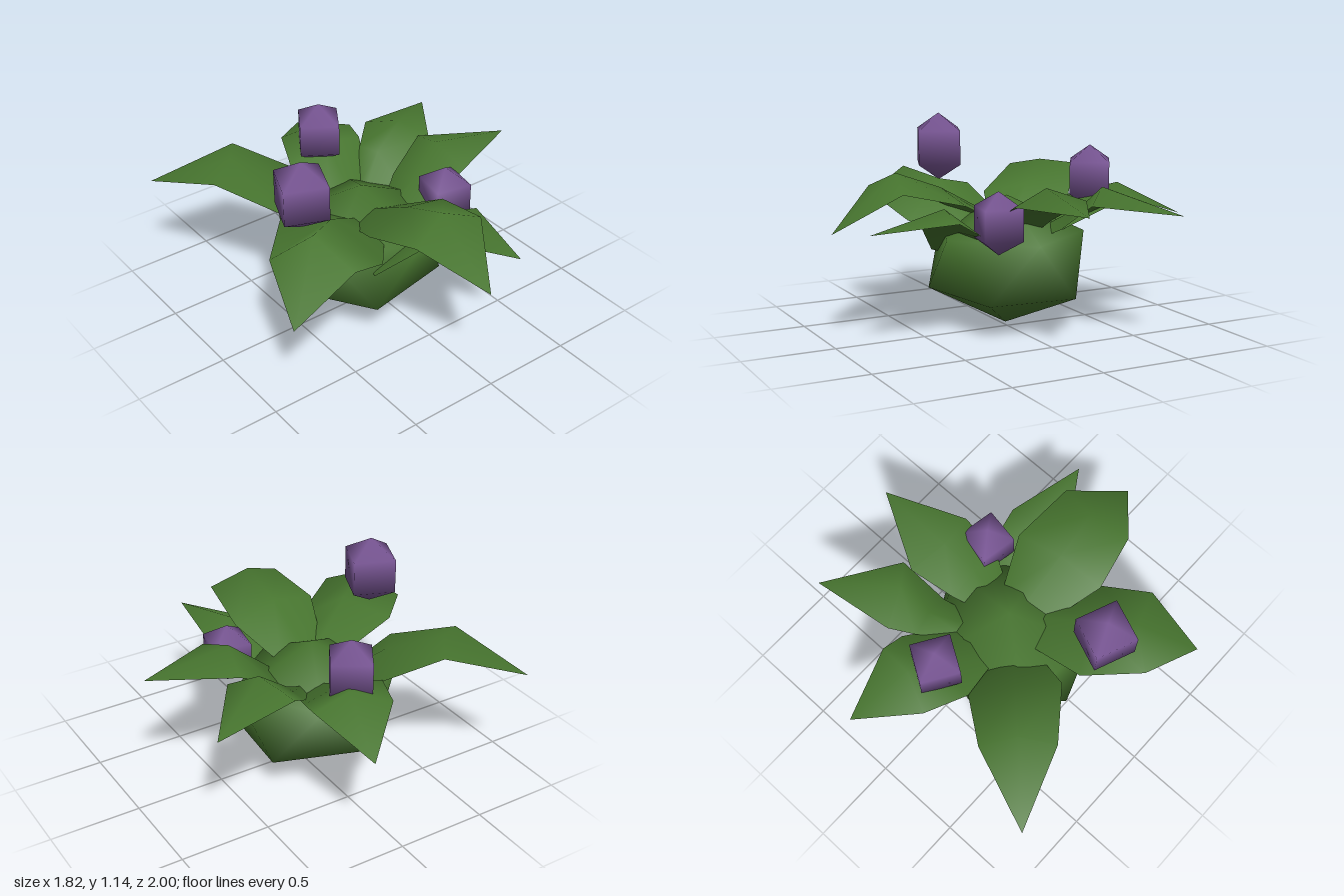
import * as THREE from 'three';
import { mergeVertices } from 'three/addons/utils/BufferGeometryUtils.js';

const leafGreen = new THREE.MeshStandardMaterial({ color: 0x47752f, side: THREE.DoubleSide });
leafGreen.name = 'leaf green';
const berryPurple = new THREE.MeshStandardMaterial({ color: 0x7a5796 });
berryPurple.name = 'berry purple';

// Smooth twenty-sided ball standing on one corner, squashed and slightly tilted
function bushGeometry() {
  let g = new THREE.IcosahedronGeometry(1, 0);
  g.deleteAttribute('normal');
  g.deleteAttribute('uv');
  g = mergeVertices(g, 1e-3);
  g.rotateZ(-Math.atan2(2, 1 + Math.sqrt(5)));
  g.rotateY(-0.08);
  g.scale(0.512, 0.36, 0.472);
  g.rotateZ(-0.022);
  g.translate(-0.069, 0.36, -0.029);
  g.computeVertexNormals();
  return g;
}

// Folded leaf: base, inner and outer cross-sections of three points, then a tip
function leafGeometry({ base, inner, ridge, outer, crest, tip }) {
  const v = (a) => new THREE.Vector3(...a);
  const [il, ir, ol, or] = [...inner, ...outer].map(v);
  const b = v(base);
  const across = ir.clone().sub(il).multiplyScalar(0.28);
  const drop = new THREE.Vector3(0, -0.05, 0);
  const innerMid = il.clone().lerp(ir, 0.5);
  innerMid.y = ridge;
  const points = [
    b.clone().sub(across).add(drop), b, b.clone().add(across).add(drop),
    il, innerMid, ir,
    ol, v(crest), or,
    v(tip),
  ];
  const index = [];
  for (let row = 0; row < 2; row++) {
    for (let col = 0; col < 2; col++) {
      const a = row * 3 + col;
      index.push(a, a + 3, a + 1, a + 1, a + 3, a + 4);
    }
  }
  index.push(6, 9, 7, 7, 9, 8);
  const g = new THREE.BufferGeometry().setFromPoints(points);
  g.setIndex(index);
  g.computeVertexNormals();
  return g;
}

// Each pair lists the two edges of the leaf; ridge is the height of the fold between the inner pair
const leaves = {
  frontLeaf: {
    base: [-0.07, 0.63, 0.08], inner: [[-0.33, 0.73, 0.4], [0.2, 0.72, 0.34]], ridge: 0.79,
    outer: [[-0.27, 0.795, 0.695], [0.165, 0.8, 0.68]], crest: [-0.05, 0.885, 0.63], tip: [-0.035, 0.59, 0.995],
  },
  lowerFrontLeaf: {
    base: [0, 0.46, 0.12], inner: [[-0.25, 0.415, 0.34], [0.33, 0.57, 0.3]], ridge: 0.56,
    outer: [[0.01, 0.63, 0.53], [0.345, 0.66, 0.45]], crest: [0.18, 0.715, 0.46], tip: [0.25, 0.625, 0.9],
  },
  leftLeaf: {
    base: [0.1, 0.54, 0.04], inner: [[0.25, 0.62, 0.21], [0.25, 0.62, -0.14]], ridge: 0.67,
    outer: [[0.47, 0.745, 0.21], [0.48, 0.75, -0.21]], crest: [0.43, 0.825, 0], tip: [0.905, 0.745, 0.03],
  },
  backLeftLeaf: {
    base: [0.06, 0.54, -0.16], inner: [[0.29, 0.57, -0.17], [0.24, 0.66, -0.44]], ridge: 0.68,
    outer: [[0.55, 0.73, -0.2], [0.35, 0.74, -0.53]], crest: [0.44, 0.81, -0.33], tip: [0.82, 0.69, -0.585],
  },
  backLeaf: {
    base: [0, 0.56, -0.2], inner: [[0.28, 0.68, -0.5], [-0.2, 0.67, -0.5]], ridge: 0.73,
    outer: [[0.3, 0.7, -0.62], [-0.1, 0.7, -0.735]], crest: [0.1, 0.77, -0.64], tip: [0.19, 0.58, -1.0],
  },
  backRightLeaf: {
    base: [-0.2, 0.545, -0.15], inner: [[-0.2, 0.66, -0.5], [-0.52, 0.67, -0.12]], ridge: 0.72,
    outer: [[-0.45, 0.81, -0.69], [-0.74, 0.79, -0.41]], crest: [-0.57, 0.83, -0.52], tip: [-0.89, 0.655, -0.845],
  },
  rightLeaf: {
    base: [-0.17, 0.61, 0.08], inner: [[-0.57, 0.72, -0.04], [-0.29, 0.58, 0.46]], ridge: 0.78,
    outer: [[-0.81, 0.69, 0.21], [-0.55, 0.71, 0.575]], crest: [-0.63, 0.835, 0.34], tip: [-0.91, 0.51, 0.56],
  },
};

// Centre, radius and turn in degrees
const berries = {
  rightBerry: [[-0.562, 0.945, 0.148], 0.191, 23],
  backBerry: [[0.01, 0.8, -0.515], 0.177, 13],
  frontBerry: [[0.32, 0.642, 0.218], 0.167, 35],
};

export function createModel() {
  const model = new THREE.Group();
  model.name = 'berryBush';
  const add = (name, geometry, material) => {
    const mesh = new THREE.Mesh(geometry, material);
    mesh.name = name;
    model.add(mesh);
    return mesh;
  };

  add('bush', bushGeometry(), leafGreen);
  for (const [name, leaf] of Object.entries(leaves)) add(name, leafGeometry(leaf), leafGreen);
  for (const [name, [centre, radius, turn]] of Object.entries(berries)) {
    const berry = add(name, new THREE.SphereGeometry(radius, 4, 3), berryPurple);
    berry.position.set(...centre);
    berry.rotation.y = THREE.MathUtils.degToRad(turn);
  }
  return model;
}
